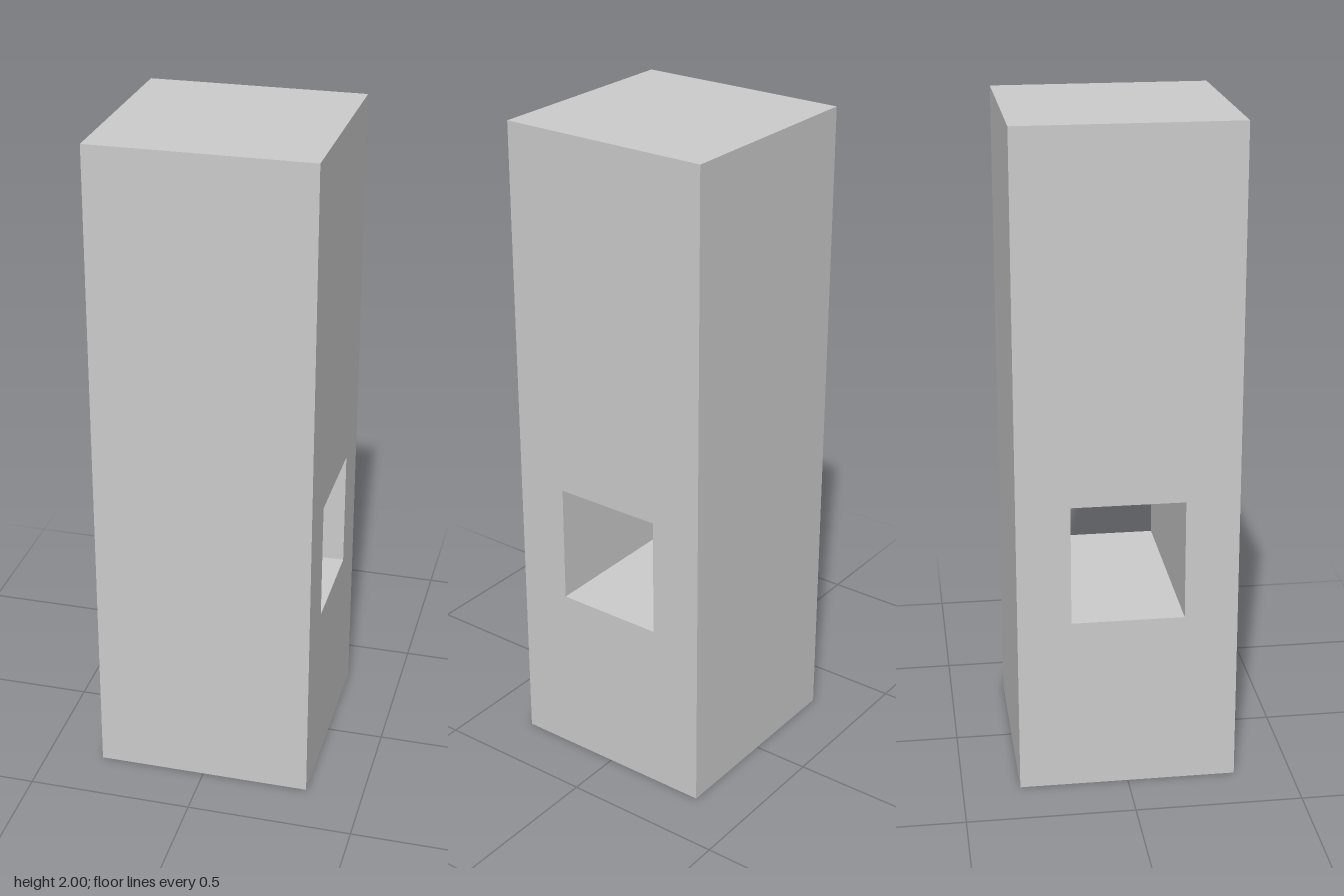
import * as THREE from 'three';

const HEIGHT = 2;
const HALF = 0.327;                 // half the width and depth of the tower
const HOLE = { half: 0.168, bottom: 0.535, top: 0.9 };

export function createModel() {
  const model = new THREE.Group();
  model.name = 'hollowTower';
  const material = new THREE.MeshStandardMaterial({
    color: 0xcccccc, flatShading: true, side: THREE.DoubleSide,
  });

  function addPanel(name, geometry, position, rotation = [0, 0, 0]) {
    const mesh = new THREE.Mesh(geometry, material);
    mesh.name = name;
    mesh.position.set(...position);
    mesh.rotation.set(...rotation);
    model.add(mesh);
  }

  // Thin outer shell, open at the bottom: plain front, back and top
  const wall = new THREE.PlaneGeometry(2 * HALF, HEIGHT);
  addPanel('frontWall', wall, [0, HEIGHT / 2, HALF]);
  addPanel('backWall', wall, [0, HEIGHT / 2, -HALF], [0, Math.PI, 0]);
  addPanel('top', new THREE.PlaneGeometry(2 * HALF, 2 * HALF), [0, HEIGHT, 0], [-Math.PI / 2, 0, 0]);

  // Side walls with the window cut out
  const outline = new THREE.Shape([
    new THREE.Vector2(-HALF, 0), new THREE.Vector2(HALF, 0),
    new THREE.Vector2(HALF, HEIGHT), new THREE.Vector2(-HALF, HEIGHT),
  ]);
  outline.holes.push(new THREE.Path([
    new THREE.Vector2(-HOLE.half, HOLE.bottom), new THREE.Vector2(-HOLE.half, HOLE.top),
    new THREE.Vector2(HOLE.half, HOLE.top), new THREE.Vector2(HOLE.half, HOLE.bottom),
  ]));
  const sideWall = new THREE.ShapeGeometry(outline);
  addPanel('leftWall', sideWall, [HALF, 0, 0], [0, Math.PI / 2, 0]);
  addPanel('rightWall', sideWall, [-HALF, 0, 0], [0, -Math.PI / 2, 0]);

  // Tunnel linings joining the two windows, facing inward
  const level = new THREE.PlaneGeometry(2 * HALF, 2 * HOLE.half);
  addPanel('tunnelFloor', level, [0, HOLE.bottom, 0], [-Math.PI / 2, 0, 0]);
  addPanel('tunnelCeiling', level, [0, HOLE.top, 0], [Math.PI / 2, 0, 0]);
  const lining = new THREE.PlaneGeometry(2 * HALF, HOLE.top - HOLE.bottom);
  const middle = (HOLE.top + HOLE.bottom) / 2;
  addPanel('tunnelBackSide', lining, [0, middle, -HOLE.half]);
  addPanel('tunnelFrontSide', lining, [0, middle, HOLE.half], [0, Math.PI, 0]);

  return model;
}
